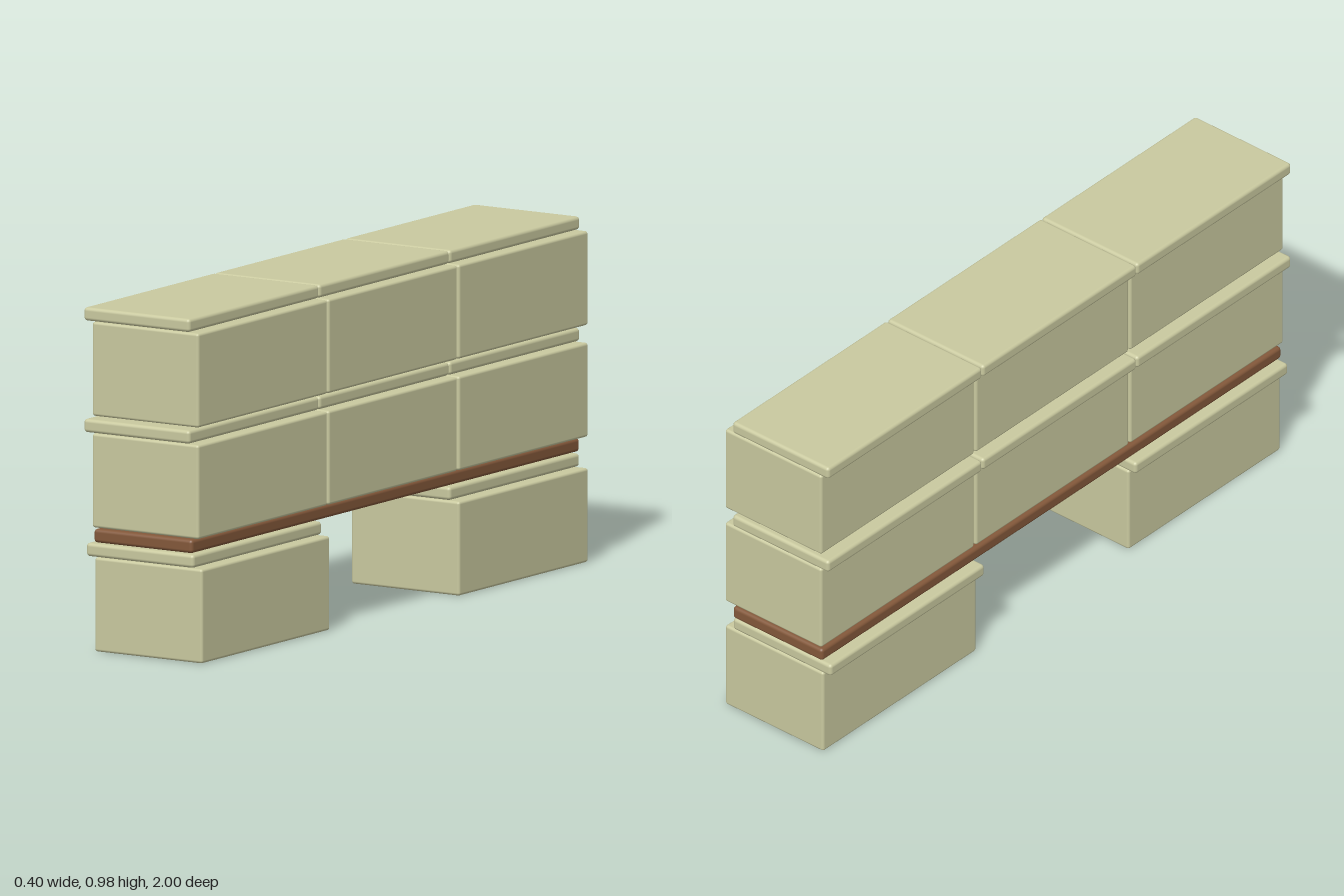
import * as THREE from 'three';
import { RoundedBoxGeometry } from 'three/addons/geometries/RoundedBoxGeometry.js';

export function createModel() {
  const group = new THREE.Group();
  const khaki = new THREE.MeshStandardMaterial({ name: 'khaki', color: 0xc9c99f });
  const brown = new THREE.MeshStandardMaterial({ name: 'brown wood', color: 0x83583a });

  // Rounded box given by its extents on each axis
  function block(name, material, [x0, x1], [y0, y1], [z0, z1], radius) {
    const geometry = new RoundedBoxGeometry(x1 - x0, y1 - y0, z1 - z0, 3, radius);
    const mesh = new THREE.Mesh(geometry, material);
    mesh.name = name;
    mesh.position.set((x0 + x1) / 2, (y0 + y1) / 2, (z0 + z1) / 2);
    group.add(mesh);
  }

  // A crate with its lid shifted to one side
  function crate(name, y, z, bodyX, lidX) {
    block(name + 'Body', khaki, bodyX, [y, y + 0.269], z, 0.008);
    block(name + 'Lid', khaki, lidX, [y + 0.27, y + 0.308], [z[0] - 0.002, z[1] + 0.002], 0.01);
  }

  // Two base crates with a gap between them
  crate('baseFront', 0.003, [0.326, 0.981], [-0.168, 0.195], [-0.196, 0.167]);
  crate('baseBack', 0.003, [-0.991, -0.33], [-0.168, 0.197], [-0.198, 0.167]);

  // Plank bridging the base crates
  block('plank', brown, [-0.169, 0.164], [0.315, 0.354], [-0.997, 0.985], 0.01);

  // Two stacked rows of three crates
  const spans = { Back: [-0.997, -0.336], Middle: [-0.329, 0.33], Front: [0.336, 0.997] };
  [['middleRow', 0.36], ['topRow', 0.679]].forEach(([row, y]) => {
    for (const [place, z] of Object.entries(spans)) {
      crate(row + place, y, z, [-0.166, 0.193], [-0.194, 0.164]);
    }
  });

  return group;
}
